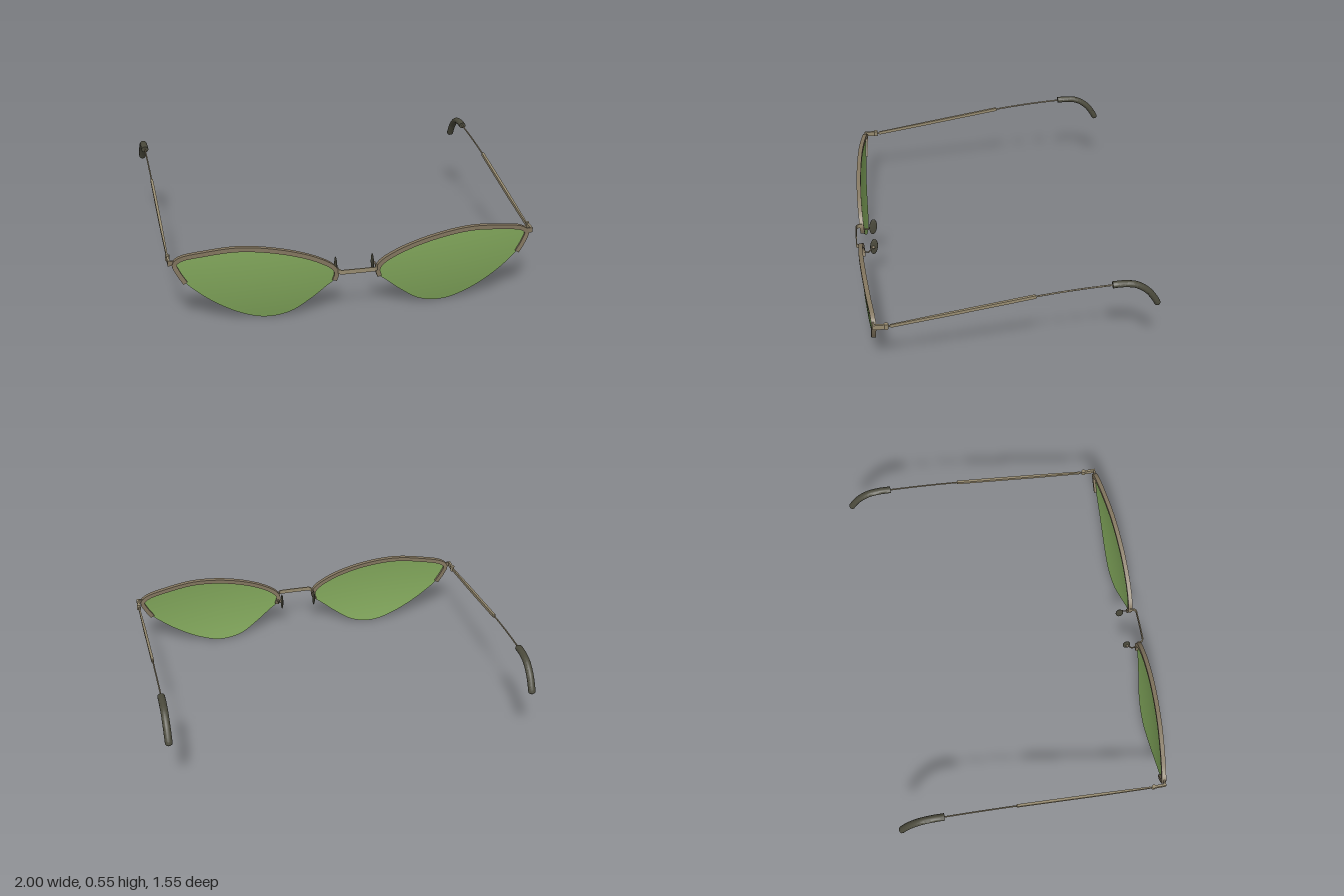
import * as THREE from 'three';
import { toCreasedNormals } from 'three/addons/utils/BufferGeometryUtils.js';

const V = (x, y, z) => new THREE.Vector3(x, y, z);

// Curved sheet on which the lens and rim lie
const sheetZ = (x, y) => 0.75 - 0.055 * ((x - 0.3) / 0.65) ** 2 - 0.35 * (y - 0.33) ** 2;

// Rim centre line, from the nose over the brow to the temple (left side, +x)
const RIM = [[0.122, 0.195], [0.111, 0.235], [0.128, 0.27], [0.22, 0.328], [0.4, 0.388], [0.62, 0.418],
  [0.81, 0.4], [0.92, 0.377], [0.952, 0.35], [0.935, 0.3], [0.9, 0.24]];
// Rimless lower lens edge, from the temple back to the nose
const LOWER = [[0.86, 0.2], [0.76, 0.12], [0.62, 0.04], [0.49, 0.002], [0.36, 0.02], [0.25, 0.09], [0.165, 0.16]];

function build(positions, index, crease) {
  const geo = new THREE.BufferGeometry();
  geo.setAttribute('position', new THREE.Float32BufferAttribute(positions, 3));
  geo.setIndex(index);
  geo.computeVertexNormals();
  return crease ? toCreasedNormals(geo, crease) : geo;
}

// Sweep a box (4 sides) or round section along a curve; size(t) gives [half width, half height]
function sweep(curve, steps, up, sides, size) {
  const pos = [], idx = [];
  const k = sides === 4 ? Math.SQRT2 : 1;
  const push = (p) => pos.push(p.x, p.y, p.z);
  for (let i = 0; i <= steps; i++) {
    const u = i / steps, c = curve.getPointAt(u), t = curve.getTangentAt(u);
    const b = up.clone().cross(t).normalize(), n = t.clone().cross(b);
    const [w, h] = size(u);
    for (let j = 0; j < sides; j++) {
      const a = ((j + 0.5) / sides) * Math.PI * 2;
      push(c.clone().addScaledVector(b, Math.cos(a) * w * k).addScaledVector(n, Math.sin(a) * h * k));
    }
  }
  const start = pos.length / 3;
  push(curve.getPointAt(0));
  push(curve.getPointAt(1));
  for (let j = 0; j < sides; j++) {
    const j2 = (j + 1) % sides, last = steps * sides;
    for (let i = 0; i < steps; i++) {
      const A = i * sides + j, B = i * sides + j2, C = B + sides, D = A + sides;
      idx.push(A, B, D, B, C, D);
    }
    idx.push(start, j2, j, start + 1, last + j, last + j2);
  }
  return build(pos, idx, 0.8);
}

// Lens: rings shrinking to a centre point, bent onto the curved sheet
function lensGeometry() {
  const edge = new THREE.CatmullRomCurve3([...RIM, ...LOWER].map(([x, y]) => V(x, y, 0)), true)
    .getSpacedPoints(96).slice(0, 96).reverse();
  const cx = 0.5, cy = 0.23, rings = 8, n = edge.length;
  const pos = [cx, cy, sheetZ(cx, cy)], idx = [];
  for (let r = 1; r <= rings; r++) {
    for (const p of edge) {
      const x = cx + ((p.x - cx) * r) / rings, y = cy + ((p.y - cy) * r) / rings;
      pos.push(x, y, sheetZ(x, y));
    }
  }
  for (let j = 0; j < n; j++) {
    const j2 = (j + 1) % n;
    idx.push(0, 1 + j, 1 + j2);
    for (let r = 0; r < rings - 1; r++) {
      const a = 1 + r * n + j, b = 1 + r * n + j2;
      idx.push(a, a + n, b, b, a + n, b + n);
    }
  }
  return build(pos, idx);
}

// Mirror a geometry across x = 0, keeping faces outward
function mirrored(geo) {
  const g = geo.index ? geo.toNonIndexed() : geo.clone();
  for (const attr of [g.attributes.position, g.attributes.normal]) {
    for (let i = 0; i < attr.count; i++) attr.setX(i, -attr.getX(i));
    for (let i = 0; i < attr.count; i += 3) {
      const a = V().fromBufferAttribute(attr, i + 1), b = V().fromBufferAttribute(attr, i + 2);
      attr.setXYZ(i + 1, b.x, b.y, b.z);
      attr.setXYZ(i + 2, a.x, a.y, a.z);
    }
  }
  return g;
}

export function createModel() {
  const model = new THREE.Group();
  model.name = 'glasses';
  const material = (name, color, side = THREE.FrontSide) => {
    const m = new THREE.MeshStandardMaterial({ color, side });
    m.name = name;
    return m;
  };
  const green = material('green lens', 0x80a55a, THREE.DoubleSide);
  const metal = material('rim metal', 0x83765f);
  const templeMetal = material('temple metal', 0x978b70);
  const dark = material('dark plastic', 0x4b4a3c);

  const add = (name, geo, mat) => {
    const mesh = new THREE.Mesh(geo, mat);
    mesh.name = name;
    model.add(mesh);
  };
  const pair = (name, geo, mat) => {
    add('left' + name, geo, mat);
    add('right' + name, mirrored(geo), mat);
  };
  const path = (...pts) => new THREE.CatmullRomCurve3(pts.map((p) => V(...p)));
  const box = (w, h, d, x, y, z) => new THREE.BoxGeometry(w, h, d).translate(x, y, z);
  const UP = V(0, 1, 0);

  // Lenses and half rims
  pair('Lens', lensGeometry(), green);
  const rimPath = path(...RIM.map(([x, y]) => [x, y, sheetZ(x, y)]));
  pair('Rim', sweep(rimPath, 90, V(0, 0, 1), 4, () => [0.012, 0.012]), metal);

  // Bridge: flat strip bowed forward between the rims
  const bridgePath = path([-0.104, 0.25, 0.74], [-0.102, 0.25, 0.762], [-0.092, 0.25, 0.773], [-0.06, 0.25, 0.775],
    [0.06, 0.25, 0.775], [0.092, 0.25, 0.773], [0.102, 0.25, 0.762], [0.104, 0.25, 0.74]);
  add('bridge', sweep(bridgePath, 48, UP, 4, () => [0.003, 0.012]), templeMetal);

  // Nose pads on curled wire arms
  const arm = path([0.113, 0.225, 0.735], [0.116, 0.215, 0.712], [0.114, 0.235, 0.692], [0.106, 0.242, 0.68]);
  pair('PadArm', new THREE.TubeGeometry(arm, 20, 0.004, 8), metal);
  pair('PadMount', new THREE.SphereGeometry(0.009, 12, 8).translate(0.108, 0.242, 0.68), metal);
  const pad = new THREE.SphereGeometry(1, 20, 14).scale(0.007, 0.052, 0.022);
  pair('NosePad', pad.rotateX(-0.1).translate(0.1, 0.242, 0.677), dark);

  // End pieces and hinges
  pair('EndPiece', box(0.042, 0.026, 0.01, 0.965, 0.356, 0.697), metal);
  pair('HingeBlock', box(0.012, 0.028, 0.068, 0.98, 0.357, 0.666), templeMetal);
  pair('HingeScrew', new THREE.CylinderGeometry(0.011, 0.011, 0.032, 16).translate(0.98, 0.359, 0.632), templeMetal);

  // Temples: thin wire with a flat thicker front section
  const wire = path([0.98, 0.357, 0.64], [0.98, 0.36, 0.605], [0.98, 0.488, -0.12], [0.98, 0.518, -0.35], [0.98, 0.535, -0.55]);
  pair('TempleWire', sweep(wire, 40, UP, 8, () => [0.004, 0.005]), templeMetal);
  const bar = new THREE.LineCurve3(V(0.98, 0.359, 0.612), V(0.98, 0.49, -0.13));
  pair('TempleBar', sweep(bar, 12, UP, 4, (t) => [0.004 + 0.003 * Math.min(1, t * 2.5), 0.009]), templeMetal);

  // Curved ear tips with rounded ends
  const tip = path([0.98, 0.534, -0.52], [0.98, 0.537, -0.58], [0.98, 0.526, -0.645], [0.98, 0.485, -0.705],
    [0.98, 0.436, -0.742], [0.98, 0.394, -0.765]);
  const tipSize = (t) => {
    const r = Math.sqrt(Math.max(0.02, 1 - Math.max(0, (t - 0.95) / 0.05) ** 2));
    return [0.02 * r, 0.017 * r];
  };
  pair('EarTip', sweep(tip, 60, UP, 16, tipSize), dark);

  return model;
}
